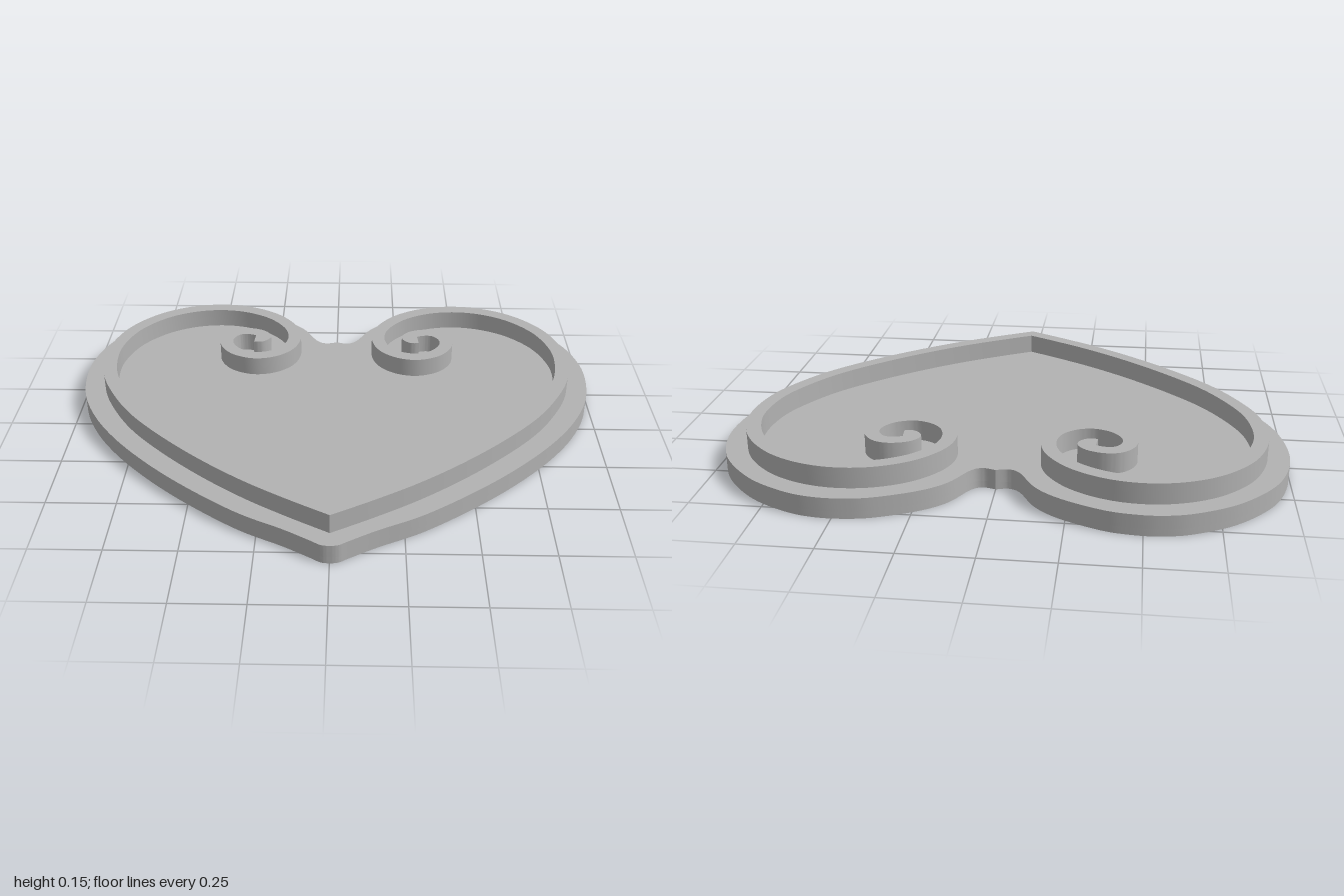
import * as THREE from 'three';
import { toCreasedNormals } from 'three/addons/utils/BufferGeometryUtils.js';

const TOP = 0.147, BASE = 0.073, RECESS = 0.025, HALF = 0.026;
const v = ([x, z]) => new THREE.Vector2(x, z);
const mirror = (pts) => pts.map((p) => new THREE.Vector2(-p.x, p.y));

// right half of the plate edge (x, z), from the notch round to the point
const edge = [[0, -0.535], [0.045, -0.525], [0.085, -0.575 + 0.025], [0.145, -0.65], [0.23, -0.72],
  [0.36, -0.78], [0.45, -0.8], [0.55, -0.802], [0.66, -0.775], [0.8, -0.695], [0.92, -0.565],
  [0.98, -0.43], [1, -0.28], [0.975, -0.1], [0.905, 0.06], [0.8, 0.21], [0.66, 0.36],
  [0.5, 0.5], [0.315, 0.635], [0.16, 0.718], [0.065, 0.775], [0.03, 0.797], [0, 0.802]];

// right half of the ridge centreline, from the point round into the scroll
const scroll = [[0, 0.707], [0.13, 0.632], [0.28, 0.537], [0.435, 0.42], [0.588, 0.284], [0.72, 0.144],
  [0.81, 0.01], [0.874, -0.13], [0.897, -0.28], [0.882, -0.4], [0.83, -0.52], [0.735, -0.622],
  [0.622, -0.682], [0.5, -0.703], [0.38, -0.684], [0.27, -0.625], [0.195, -0.535], [0.172, -0.445],
  [0.193, -0.362], [0.25, -0.308], [0.325, -0.291], [0.4, -0.32], [0.443, -0.378], [0.446, -0.435],
  [0.415, -0.48], [0.37, -0.492], [0.32, -0.478], [0.296, -0.45], [0.312, -0.428], [0.335, -0.43]];

// extrude a plan shape (x, z) between two heights
function slab(shape, y0, y1) {
  const g = new THREE.ExtrudeGeometry(shape, { depth: y1 - y0, bevelEnabled: false, curveSegments: 64 });
  g.rotateX(Math.PI / 2).translate(0, y1, 0);
  return toCreasedNormals(g, 0.4);
}

function heartShape() {
  const right = new THREE.SplineCurve(edge.map(v)).getPoints(140);
  const left = mirror(right).reverse().slice(1, -1);
  return new THREE.Shape([...right, ...left]);
}

function ridgeShape() {
  const curve = new THREE.SplineCurve(scroll.map(v));
  const n = 240, outer = [], inner = [];
  for (let i = 0; i <= n; i++) {
    const p = curve.getPoint(i / n), t = curve.getTangent(i / n);
    // mitre at the heart's point, plain normal elsewhere
    const off = i === 0 ? new THREE.Vector2(0, 0.03) : new THREE.Vector2(-t.y, t.x).multiplyScalar(HALF);
    outer.push(p.clone().add(off));
    inner.push(p.clone().sub(off));
  }
  return new THREE.Shape([
    ...outer.slice().reverse(), ...mirror(outer).slice(1),
    ...mirror(inner).reverse(), ...inner.slice(1),
  ]);
}

export function createModel() {
  const group = new THREE.Group();
  const grey = new THREE.MeshStandardMaterial({ color: 0xb2b2b2 });
  grey.name = 'plain grey';
  const add = (name, geometry) => {
    const mesh = new THREE.Mesh(geometry, grey);
    mesh.name = name;
    group.add(mesh);
  };

  // underside layer with a round recess
  const lower = heartShape();
  lower.holes.push(new THREE.Path().absarc(0, -0.105, 0.287, 0, Math.PI * 2, true));
  add('recessedUnderside', slab(lower, 0, RECESS));
  add('heartPlate', slab(heartShape(), RECESS, BASE));

  // raised outline ending in two scrolls
  add('scrolledRidge', slab(ridgeShape(), BASE, TOP));
  return group;
}
